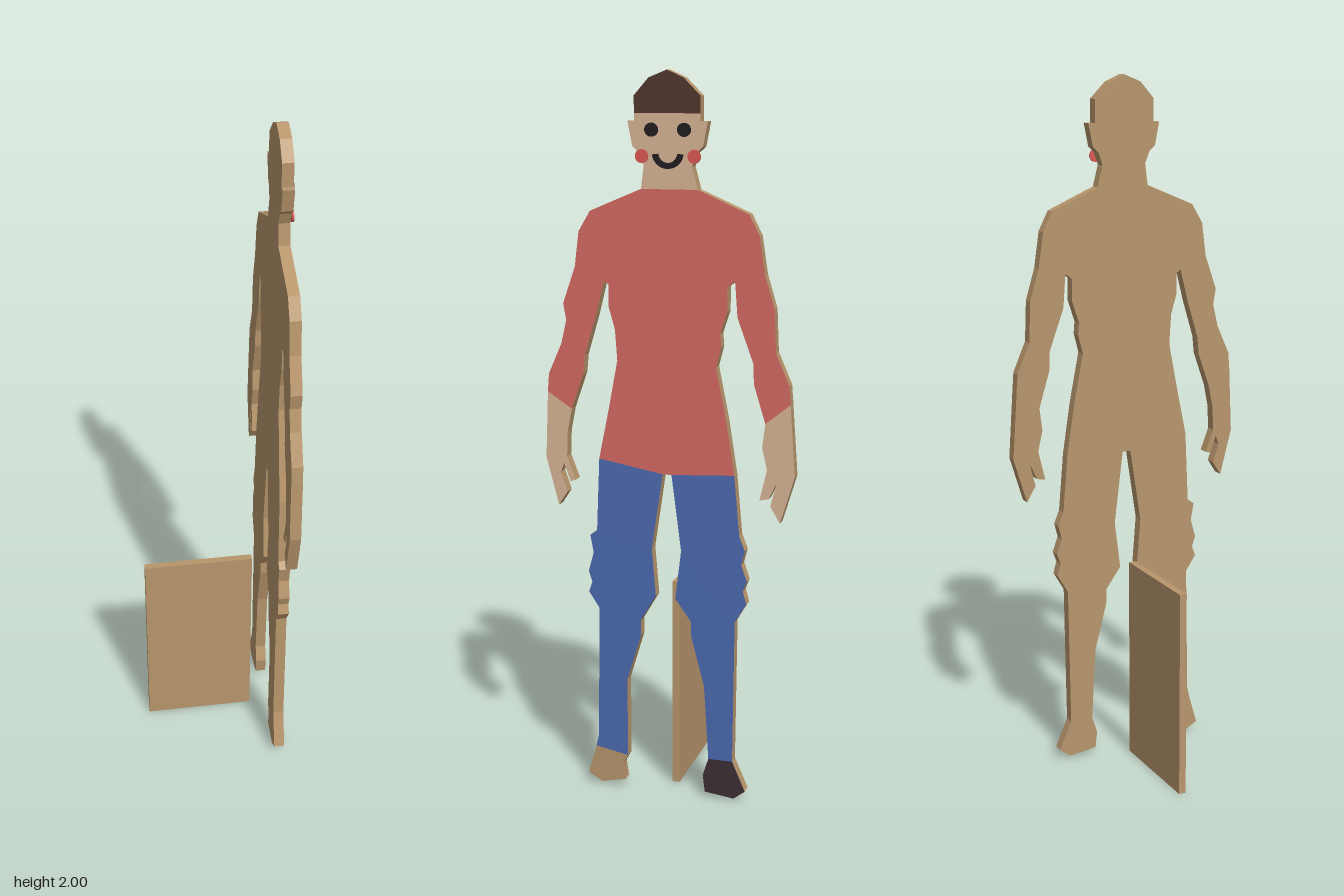
import * as THREE from 'three';

const BACK = 0.16, FACE = 0.191; // x range of the cut-out panel

// Outline of each half, from the crown down to the crotch: [across, height]
const A = {
  hair: [[-0.05, 1.98], [-0.09, 1.935], [-0.09, 1.89]],
  head: [[-0.09, 1.87], [-0.108, 1.87], [-0.095, 1.805], [-0.078, 1.79], [-0.064, 1.755], [-0.072, 1.695]],
  sleeveOut: [[-0.215, 1.635], [-0.248, 1.58], [-0.26, 1.485], [-0.295, 1.385], [-0.287, 1.34], [-0.302, 1.275], [-0.34, 1.19], [-0.344, 1.14]],
  hand: [[-0.352, 0.955], [-0.317, 0.82], [-0.291, 0.86], [-0.31, 0.915], [-0.3, 0.94], [-0.282, 0.89], [-0.266, 0.895], [-0.291, 0.96], [-0.288, 1.03]],
  sleeveIn: [[-0.275, 1.095], [-0.24, 1.195], [-0.235, 1.245], [-0.202, 1.355], [-0.178, 1.45], [-0.165, 1.44], [-0.165, 1.38], [-0.148, 1.32], [-0.142, 1.235], [-0.168, 1.1], [-0.197, 0.96]],
  legOut: [[-0.206, 0.755], [-0.226, 0.74], [-0.217, 0.69], [-0.232, 0.635], [-0.222, 0.605], [-0.232, 0.575], [-0.202, 0.53], [-0.208, 0.15], [-0.216, 0.115]],
  foot: [[-0.24, 0.03], [-0.2, 0.007], [-0.13, 0.022], [-0.136, 0.07]],
  legIn: [[-0.121, 0.097], [-0.121, 0.325], [-0.08, 0.46], [-0.08, 0.505], [-0.036, 0.58], [-0.047, 0.715], [-0.015, 0.928]],
};
const B = {
  hair: [[0.045, 1.98], [0.09, 1.935], [0.09, 1.89]],
  head: [[0.09, 1.87], [0.11, 1.87], [0.097, 1.805], [0.08, 1.79], [0.068, 1.755], [0.084, 1.695]],
  sleeveOut: [[0.222, 1.635], [0.25, 1.58], [0.265, 1.48], [0.292, 1.39], [0.297, 1.275], [0.334, 1.19], [0.338, 1.14]],
  hand: [[0.352, 0.945], [0.313, 0.815], [0.286, 0.86], [0.302, 0.925], [0.281, 0.88], [0.256, 0.875], [0.276, 0.96], [0.262, 1.02]],
  sleeveIn: [[0.27, 1.085], [0.238, 1.19], [0.236, 1.245], [0.192, 1.365], [0.185, 1.46], [0.165, 1.445], [0.165, 1.38], [0.145, 1.32], [0.148, 1.285], [0.134, 1.23], [0.163, 1.085], [0.186, 0.938]],
  legOut: [[0.201, 0.77], [0.217, 0.73], [0.207, 0.69], [0.223, 0.645], [0.212, 0.615], [0.222, 0.58], [0.19, 0.525], [0.185, 0.115]],
  foot: [[0.222, 0.03], [0.19, 0.005], [0.106, 0.015], [0.1, 0.065]],
  legIn: [[0.116, 0.115], [0.103, 0.33], [0.065, 0.475], [0.065, 0.515], [0.02, 0.577], [0.037, 0.715], [0.01, 0.928]],
};
const CROWN = [0, 2];

const last = (list) => list[list.length - 1];
const rev = (list) => [...list].reverse();
const toShape = (pts) => new THREE.Shape(pts.map(([u, y]) => new THREE.Vector2(u, y)));

export function createModel() {
  const paint = (name, color) => {
    const m = new THREE.MeshStandardMaterial({ color });
    m.name = name;
    return m;
  };
  const wood = paint('wood', 0xb8966c);
  const skin = paint('skin', 0xd8b494);
  const red = paint('shirtRed', 0xd66a64);
  const blue = paint('trouserBlue', 0x4c6ab0);
  const brown = paint('hairBrown', 0x53362f);
  const dark = paint('shoeDark', 0x3c2e34);
  const black = paint('black', 0x211c20);
  const pink = paint('cheekRed', 0xdc5a54);

  const model = new THREE.Group();
  model.name = 'cutoutFigure';

  // Panel drawn in its own plane, then turned to face +x
  const panel = new THREE.Group();
  panel.name = 'standingPanel';
  panel.rotation.y = Math.PI / 2;
  model.add(panel);

  const add = (name, geometry, material, z) => {
    const mesh = new THREE.Mesh(geometry, material);
    mesh.name = name;
    mesh.position.z = z;
    panel.add(mesh);
  };
  const slab = (name, shape, depth, material, z) =>
    add(name, new THREE.ExtrudeGeometry(shape, { depth, bevelEnabled: false, curveSegments: 10 }), material, z);
  const coat = (name, pts, material) =>
    add(name, new THREE.ShapeGeometry(toShape(pts)), material, FACE + 0.001);

  // Sawn wooden body
  const half = (s) => Object.values(s).flat();
  slab('body', toShape([CROWN, ...half(A), ...rev(half(B))]), FACE - BACK, wood, BACK);

  // Painted front
  coat('hair', [CROWN, ...A.hair, ...rev(B.hair)], brown);
  coat('face', [last(A.hair), ...A.head, ...rev(B.head), last(B.hair)], skin);
  const shirtSide = (s) => [last(s.head), ...s.sleeveOut, ...s.sleeveIn, last(s.legIn)];
  coat('shirt', [...shirtSide(A), ...rev(shirtSide(B))], red);
  for (const [side, s] of [['right', A], ['left', B]]) {
    coat(side + 'Hand', [last(s.sleeveOut), ...s.hand, s.sleeveIn[0]], skin);
    coat(side + 'TrouserLeg', [last(s.sleeveIn), ...s.legOut, ...s.legIn], blue);
  }
  coat('shoe', [last(B.legOut), ...B.foot, B.legIn[0]], dark);

  // Raised face details
  const disc = (u, y, r) => new THREE.Shape().absarc(u, y, r, 0, Math.PI * 2);
  for (const u of [-0.042, 0.047]) slab('eye', disc(u, 1.848, 0.018), 0.008, black, FACE);
  for (const u of [-0.069, 0.074]) slab('cheek', disc(u, 1.78, 0.018), 0.005, pink, FACE);
  const smile = new THREE.Shape();
  smile.absarc(0.003, 1.79, 0.042, Math.PI * 1.04, Math.PI * 1.96, false);
  smile.absarc(0.003, 1.79, 0.027, Math.PI * 1.96, Math.PI * 1.04, true);
  slab('smile', smile, 0.009, black, FACE);

  // Upright support board behind the panel
  const board = new THREE.Mesh(new THREE.BoxGeometry(0.32, 0.602, 0.021), wood);
  board.name = 'supportBoard';
  board.position.set(-0.04, 0.301, 0);
  model.add(board);

  return model;
}
